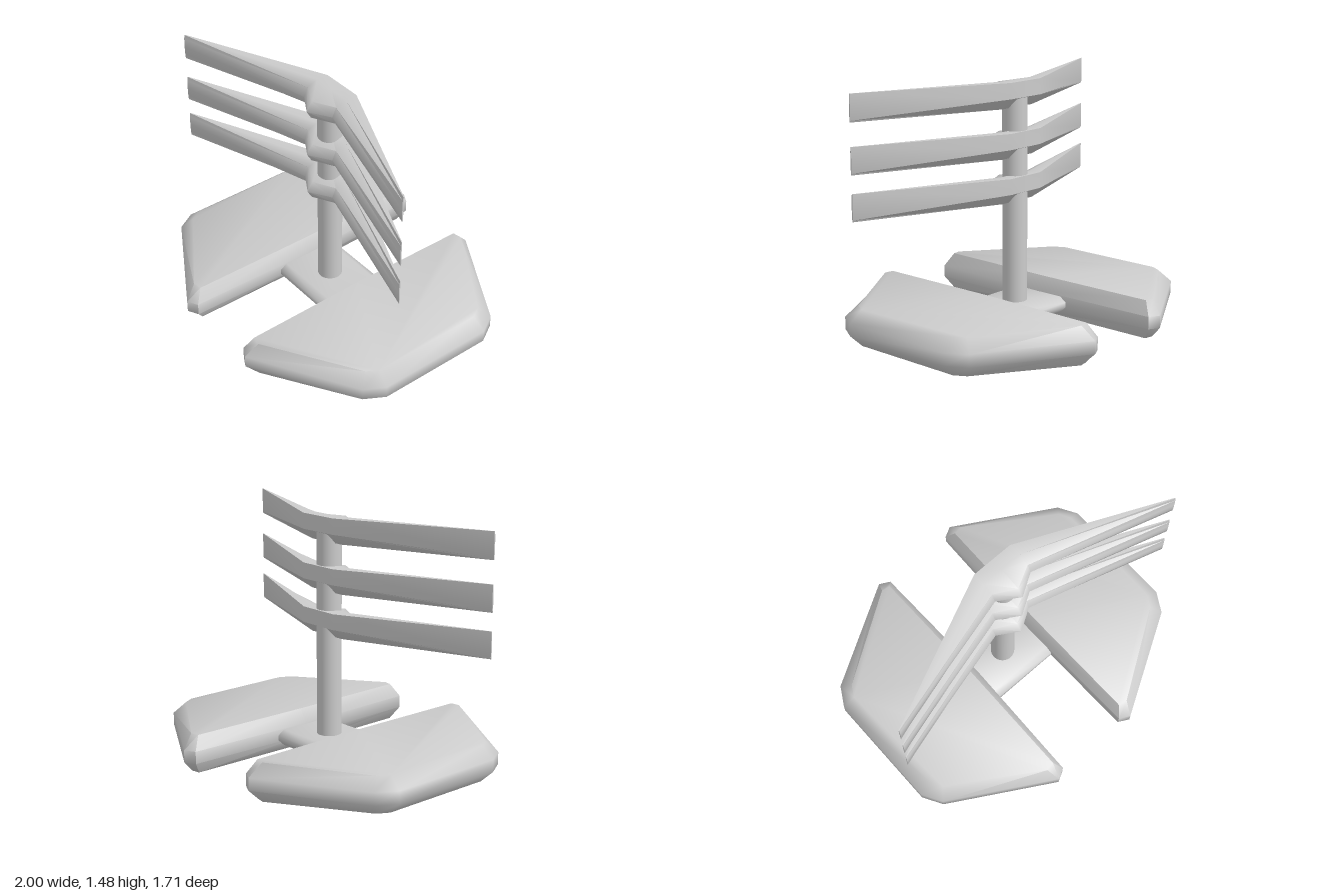
import * as THREE from 'three';
import { toCreasedNormals } from 'three/addons/utils/BufferGeometryUtils.js';

const material = new THREE.MeshStandardMaterial({ color: 0xcccccc, side: THREE.DoubleSide });

// Closed loft through rings of [x, y, z] points, each ring counter-clockwise about the loft direction
function loft(rings, crease = 1.0) {
  const n = rings[0].length, last = rings.length - 1;
  const position = rings.flat(2), index = [];
  for (let i = 0; i < last; i++) {
    for (let j = 0; j < n; j++) {
      const k = (j + 1) % n;
      const a = i * n + j, b = i * n + k, c = b + n, d = a + n;
      index.push(a, b, c, a, c, d);
    }
  }
  for (let j = 1; j < n - 1; j++) {
    index.push(0, j + 1, j);
    index.push(last * n, last * n + j, last * n + j + 1);
  }
  const geometry = new THREE.BufferGeometry();
  geometry.setAttribute('position', new THREE.Float32BufferAttribute(position, 3));
  geometry.setIndex(index);
  return toCreasedNormals(geometry, crease);
}

function addMesh(parent, name, geometry) {
  const mesh = new THREE.Mesh(geometry, material);
  mesh.name = name;
  parent.add(mesh);
  return mesh;
}

// Bevelled slab: full outline at mid height, inset outline at top and bottom
function slabGeometry() {
  const full = [[0.99, 0.37], [0.99, -0.37], [0.92, -0.49], [0.3, -0.855], [0.235, -0.82],
    [0.215, 0], [0.235, 0.82], [0.3, 0.855], [0.92, 0.49]];
  const inset = [[0.91, 0.36], [0.91, -0.36], [0.87, -0.43], [0.33, -0.78], [0.275, -0.77],
    [0.265, 0], [0.275, 0.77], [0.33, 0.78], [0.87, 0.43]];
  const ring = (outline, height) => outline.map(([x, z]) => [x, height(x), z]);
  return loft([
    ring(inset, () => 0),
    ring(full, () => 0.075),
    ring(full, () => 0.15),
    ring(inset, (x) => 0.238 - 0.023 * x),
  ]);
}

// Swept bar: [depth fraction from back to front, height] section, tapering to thin tips
function barGeometry() {
  const section = [[0, 0.08], [0.45, 0.08], [0.85, 0.055], [1, 0], [0.88, -0.05],
    [0.6, -0.08], [0.4, -0.08], [0.15, -0.025], [0, -0.015]];
  const stations = [[-1, 0.31, 0.318], [-0.13, -0.085, 0.085], [0, -0.085, 0.165],
    [0.13, -0.085, 0.085], [1, 0.31, 0.318]];
  return loft(stations.map(([x, back, front]) => section.map(([t, y]) => {
    // keep the bulge at the centre on the front ridge only
    const reach = x === 0 && t < 0.8 ? 0.085 : front;
    // tips close to a full-height vertical edge
    const h = Math.abs(x) === 1 && t < 0.2 && y < 0 ? -0.07 : y;
    return [x, h, back + t * (reach - back)];
  })));
}

export function createModel() {
  const model = new THREE.Group();

  // Pair of base slabs
  const slab = slabGeometry();
  addMesh(model, 'leftBaseSlab', slab);
  addMesh(model, 'rightBaseSlab', slab).rotation.y = Math.PI;

  // Bridge between the slabs
  const bridgeSection = [[-0.17, 0.145], [0.17, 0.145], [0.215, 0.115], [0.215, 0.085],
    [0.16, 0.04], [-0.16, 0.04], [-0.215, 0.085], [-0.215, 0.115]];
  addMesh(model, 'baseBridge', loft([-0.23, 0.23].map((x) => bridgeSection.map(([z, y]) => [x, y, z]))));

  // Upright post
  const post = addMesh(model, 'post', new THREE.CylinderGeometry(0.074, 0.074, 1.28, 24));
  post.position.y = 0.75;

  // Three swept bars
  const bar = barGeometry();
  [0.835, 1.1, 1.395].forEach((y, i) => {
    addMesh(model, `sweptBar${i + 1}`, bar).position.y = y;
  });

  return model;
}
